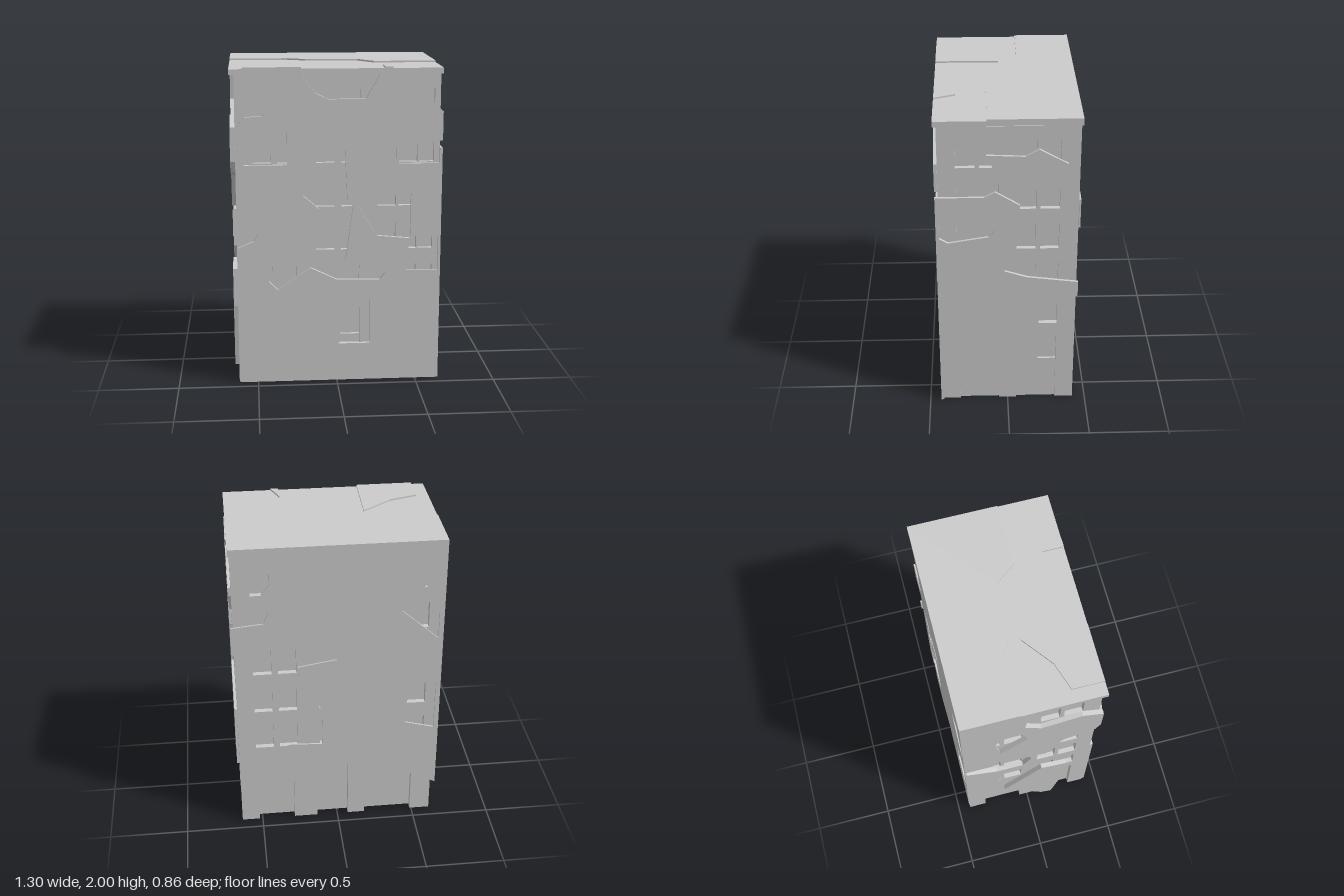
import * as THREE from 'three';

const material = new THREE.MeshStandardMaterial({ color: 0xcccccc, flatShading: true });

// Outline points, mirrored when sign is -1 and always counter-clockwise
function toPoints(pts, sign) {
  const points = pts.map(([u, y]) => new THREE.Vector2(u * sign, y));
  return THREE.ShapeUtils.isClockWise(points) ? points.reverse() : points;
}

// Flat slab with its outer face at local z = outer
function slab(name, outline, holes, outer, depth, sign = 1) {
  const shape = new THREE.Shape(toPoints(outline, sign));
  shape.holes = holes.map((h) => new THREE.Path(toPoints(h, sign)));
  const geometry = new THREE.ExtrudeGeometry(shape, { depth, bevelEnabled: false });
  geometry.translate(0, 0, outer - depth);
  const mesh = new THREE.Mesh(geometry, material);
  mesh.name = name;
  return mesh;
}

function box(name, x0, x1, y0, y1, z0, z1) {
  const mesh = new THREE.Mesh(new THREE.BoxGeometry(x1 - x0, y1 - y0, z1 - z0), material);
  mesh.position.set((x0 + x1) / 2, (y0 + y1) / 2, (z0 + z1) / 2);
  mesh.name = name;
  return mesh;
}

const rect = (a, b, y0, y1) => [[a, y0], [b, y0], [b, y1], [a, y1]];

// Five storeys of windows over the given column centres
function windowGrid(centres) {
  const windows = [];
  for (let storey = 0; storey < 5; storey++) {
    const y = 0.585 + 0.276 * storey;
    for (const c of centres) windows.push(rect(c - 0.057, c + 0.057, y, y + 0.172));
  }
  return windows;
}

// Wall outline with ground bays notched between piers
function wallOutline([a, b], bays) {
  const points = [[a, 0]];
  for (const [p, q] of bays) points.push([p, 0], [p, 0.485], [q, 0.485], [q, 0]);
  points.push([b, 0], [b, 1.96], [a, 1.96]);
  return points;
}

// One side: a recessed wall plus a function that adds broken panels over it
function makeSide(model, { name, turn, sign, outer, thick, span, bays, openings }) {
  const group = new THREE.Group();
  group.name = name + 'Side';
  group.rotation.y = turn;
  group.add(slab(name + 'Wall', wallOutline(span, bays), openings, outer - thick, 0.035, sign));
  model.add(group);
  return (part, outline, holes = []) => group.add(slab(name + part, outline, holes, outer, thick, sign));
}

const narrowBays = [[-0.305, -0.055], [0.055, 0.305]];
const narrowWindows = windowGrid([-0.25, -0.11, 0.11, 0.25]);

function addFront(model) {
  const openings = windowGrid([-0.46, -0.31, -0.07, 0.085, 0.31, 0.44, 0.565]);
  openings.push(rect(0.02, 0.145, 0.245, 0.48));
  const panel = makeSide(model, {
    name: 'front', turn: 0, sign: 1, outer: 0.43, thick: 0.02, span: [-0.615, 0.634], bays: [], openings,
  });
  const stairGap = [[-0.165, 1.495], [-0.105, 1.54], [0.05, 1.49], [0.065, 1.175], [0.1, 1.135],
    [0.055, 0.8], [0.275, 0.785], [0.3, 0.705], [0.27, 0.665], [0, 0.67], [-0.165, 0.75],
    [-0.37, 0.61], [-0.425, 0.665], [-0.425, 0.8], [-0.18, 0.8], [-0.18, 1.02], [-0.11, 1.125],
    [-0.21, 1.215]];
  const smallGap = [[-0.57, 1.405], [-0.43, 1.625], [-0.305, 1.63], [-0.305, 1.405]];
  const outline = [[-0.615, 0], [0.65, 0], [0.65, 0.72], [0.43, 0.725], [0.455, 0.93], [0.25, 0.95],
    [0.135, 1.135], [0.24, 1.185], [0.46, 1.22], [0.46, 0.945], [0.65, 0.94], [0.65, 1.405],
    [0.38, 1.405], [0.335, 1.49], [0.39, 1.52], [0.65, 1.545], [0.65, 1.725], [0.39, 1.96],
    [0.265, 1.96], [0.175, 1.805], [-0.055, 1.805], [-0.135, 1.845], [-0.215, 1.96],
    [-0.615, 1.96], [-0.615, 1.92], [-0.575, 1.895], [-0.445, 1.895], [-0.435, 1.73],
    [-0.455, 1.705], [-0.56, 1.7], [-0.615, 1.635], [-0.615, 1.32], [-0.535, 1.255],
    [-0.53, 1.1], [-0.485, 0.975], [-0.515, 0.925], [-0.615, 0.885]];
  panel('Panel', outline, [stairGap, smallGap, rect(0.01, 0.21, 0.245, 0.53)]);
}

function addLeft(model) {
  const panel = makeSide(model, {
    name: 'left', turn: Math.PI / 2, sign: -1, outer: 0.65, thick: 0.016, span: [-0.42, 0.41],
    bays: narrowBays, openings: narrowWindows,
  });
  panel('MainPanel', [[0.43, 1.5], [0.14, 1.5], [0.075, 1.535], [-0.07, 1.445], [-0.08, 1.31],
    [-0.02, 1.27], [0.02, 0.985], [-0.12, 0.94], [-0.43, 0.9], [-0.43, 0.8], [-0.275, 0.73],
    [-0.18, 0.72], [-0.19, 0.3], [-0.055, 0.315], [0.07, 0.29], [0.305, 0.115], [0.43, 0.01],
    [0.43, 1.235], [0.36, 1.19], [0.115, 1.23], [0.07, 1.28], [0.13, 1.37], [0.43, 1.37]]);
  panel('UpperPatch', [[0.125, 1.775], [-0.1, 1.765], [-0.18, 1.81], [-0.35, 1.715], [-0.35, 1.66],
    [-0.31, 1.55], [-0.18, 1.555], [-0.12, 1.64], [0.065, 1.64]]);
  panel('EavesPatch', [[0.125, 1.96], [0.125, 1.91], [-0.19, 1.92], [-0.21, 1.96]]);
}

function addBack(model) {
  const panel = makeSide(model, {
    name: 'back', turn: Math.PI, sign: -1, outer: 0.43, thick: 0.01, span: [-0.615, 0.634],
    bays: [[-0.49, -0.18], [-0.07, 0.135], [0.285, 0.52]],
    openings: windowGrid([0.467, 0.314, 0.058, -0.092, -0.302, -0.5]),
  });
  panel('Panel', [[0.43, 1.96], [0.4, 1.77], [0.46, 1.7], [0.42, 1.58], [0.45, 1.5], [0.65, 1.48],
    [0.65, 1.29], [0.405, 1.365], [0.285, 1.31], [0.07, 1.33], [0.007, 1.22], [0.25, 1.18],
    [0.24, 1.02], [0.135, 0.99], [0.095, 0.79], [0.1, 0.59], [0.325, 0.6], [0.3, 0.3],
    [0.135, 0.28], [0.07, 0.33], [-0.13, 0.46], [-0.365, 0.36], [-0.65, 0.22], [-0.65, 0.66],
    [-0.43, 0.72], [-0.43, 0.98], [-0.5, 1.02], [-0.65, 1], [-0.65, 1.96]],
  [[[-0.39, 1.54], [-0.53, 1.71], [-0.625, 1.5], [-0.63, 1.325]]]);
}

function addRight(model) {
  const panel = makeSide(model, {
    name: 'right', turn: -Math.PI / 2, sign: 1, outer: 0.65, thick: 0.03, span: [-0.42, 0.41],
    bays: narrowBays, openings: narrowWindows,
  });
  panel('MainPanel', [[-0.43, 1.08], [-0.25, 1.08], [-0.22, 1.25], [-0.1, 1.25], [-0.08, 1.1],
    [0.1, 1.08], [0.2, 1.3], [0.4, 1.36], [0.43, 1.43], [0.43, 1.64], [0.3, 1.7], [0.05, 1.66],
    [-0.05, 1.75], [-0.03, 1.96], [-0.43, 1.96]],
  [[[-0.23, 1.55], [-0.15, 1.64], [-0.05, 1.62], [-0.03, 1.5], [-0.2, 1.33]]]);
  panel('MiddlePatch', [[-0.43, 0.66], [-0.3, 0.6], [-0.2, 0.73], [-0.2, 0.82], [0, 0.85], [0, 1.03],
    [-0.05, 0.93], [-0.22, 0.93], [-0.43, 1.02]]);
  panel('FallenShard', [[-0.17, 0.4], [0.08, 0.73], [0.25, 0.7], [0.25, 0.45], [0.17, 0.02], [0.1, 0.04]]);
}

// Solid upper core over a broken base: a triangular foot and thin bay linings
function addCore(model) {
  model.add(box('core', -0.59, 0.605, 0.3, 1.96, -0.386, 0.38));
  const foot = slab('brokenBase', [[-0.6, -0.4], [0.62, -0.4], [0.62, 0.4]], [], 0.3, 0.3);
  foot.rotation.x = -Math.PI / 2;
  model.add(foot);
  model.add(box('backBayLining', -0.59, 0.605, 0.01, 0.3, -0.386, -0.37));
  model.add(box('rightBayLining', -0.59, -0.574, 0.01, 0.3, -0.386, 0.38));
}

// Cornice band and broken roof plates, outlined in x and z
function addRoof(model) {
  model.add(box('cornice', -0.65, 0.645, 1.955, 1.99, -0.43, 0.43));
  const plate = (name, outline) => {
    const mesh = slab(name, outline.map(([x, z]) => [x, -z]), [], 2, 0.01);
    mesh.rotation.x = -Math.PI / 2;
    model.add(mesh);
  };
  plate('rearRoofPlate', [[-0.65, -0.43], [0.645, -0.43], [0.645, 0.12], [0.255, 0.12],
    [0.16, -0.005], [-0.17, -0.02], [-0.28, -0.08], [-0.65, -0.08]]);
  plate('frontRoofPlate', [[-0.57, 0.43], [-0.57, 0.235], [-0.4, 0.18], [-0.21, 0.035], [-0.215, 0.43]]);
  plate('roofShard', [[0.29, 0.43], [0.29, 0.3], [0.34, 0.43]]);
}

export function createModel() {
  const model = new THREE.Group();
  model.name = 'ruinedBuilding';
  addCore(model);
  addFront(model);
  addLeft(model);
  addBack(model);
  addRight(model);
  addRoof(model);
  return model;
}
